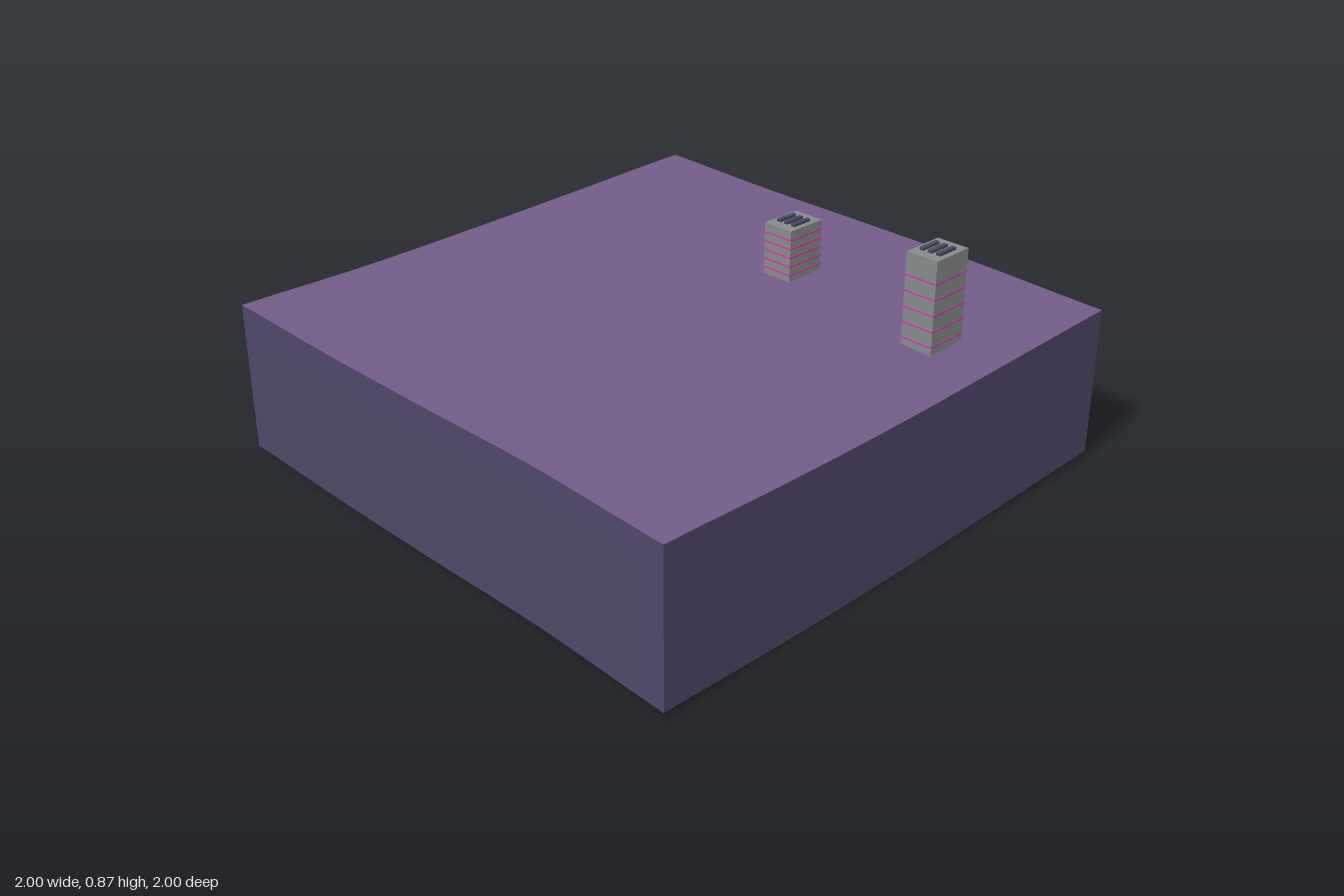
import * as THREE from 'three';

const SEG = 24;      // subdivisions along each side
const DEPTH = 0.53;  // skirt drop below the ground surface

const ground = new THREE.MeshStandardMaterial({ color: 0x735c88, side: THREE.DoubleSide });
ground.name = 'ground purple';
const earth = new THREE.MeshStandardMaterial({ color: 0x4f4769, side: THREE.DoubleSide });
earth.name = 'earth indigo';
const concrete = new THREE.MeshStandardMaterial({ color: 0x878b8b });
concrete.name = 'concrete grey';
const neon = new THREE.MeshStandardMaterial({ color: 0xcc3cb0 });
neon.name = 'neon magenta';
const ventDark = new THREE.MeshStandardMaterial({ color: 0x47475f });
ventDark.name = 'vent dark';

// Height curves along the four borders, five evenly spaced knots each
const edge = (...h) => {
  const curve = new THREE.SplineCurve(h.map((y, i) => new THREE.Vector2(i / 4, y)));
  return (t) => curve.getPoint(THREE.MathUtils.clamp(t, 0, 1)).y;
};
const backEdge = edge(0.59, 0.579, 0.577, 0.572, 0.557);
const frontEdge = edge(0.559, 0.552, 0.555, 0.562, 0.546);
const leftEdge = edge(0.59, 0.575, 0.561, 0.553, 0.559);
const rightEdge = edge(0.557, 0.545, 0.533, 0.534, 0.546);

// Ground height blended from the border curves
function heightAt(x, z) {
  const u = (x + 1) / 2, v = (z + 1) / 2, mix = THREE.MathUtils.lerp;
  return mix(backEdge(u), frontEdge(u), v) + mix(leftEdge(v), rightEdge(v), u)
    - mix(mix(backEdge(0), backEdge(1), u), mix(frontEdge(0), frontEdge(1), u), v);
}

function addMesh(parent, name, geometry, material, x = 0, y = 0, z = 0) {
  const mesh = new THREE.Mesh(geometry, material);
  mesh.name = name;
  mesh.position.set(x, y, z);
  parent.add(mesh);
  return mesh;
}

// Gently rolling top surface
function groundGeometry() {
  const g = new THREE.PlaneGeometry(2, 2, SEG, SEG).rotateX(-Math.PI / 2);
  const p = g.attributes.position;
  for (let i = 0; i < p.count; i++) p.setY(i, heightAt(p.getX(i), p.getZ(i)));
  g.computeVertexNormals();
  return g;
}

// One skirt wall: both rims follow the ground border
function wallGeometry(turn) {
  const g = new THREE.PlaneGeometry(2, 1, SEG, 1).translate(0, 0, 1).rotateY(turn * Math.PI / 2);
  const p = g.attributes.position;
  for (let i = 0; i < p.count; i++) {
    p.setY(i, heightAt(p.getX(i), p.getZ(i)) - (p.getY(i) < 0 ? DEPTH : 0));
  }
  return g;
}

// Tower block with light bands on every floor and three roof vents
function tower(name, x, z, top, firstBand, spacing) {
  const group = new THREE.Group();
  group.name = name;
  group.position.set(x, 0, z);
  const w = 0.118, d = 0.156;
  const base = heightAt(x, z) - 0.006;
  addMesh(group, 'towerBody', new THREE.BoxGeometry(w, top - base, d), concrete, 0, (top + base) / 2, 0);
  for (let i = 0; i < 5; i++) {
    addMesh(group, 'lightBand', new THREE.BoxGeometry(w + 0.003, 0.006, d + 0.003), neon,
      0, firstBand - i * spacing, 0);
  }
  for (const side of [-1, 0, 1]) {
    addMesh(group, 'roofVent', new THREE.BoxGeometry(0.016, 0.01, 0.08), ventDark,
      side * 0.032, top + 0.004, 0);
  }
  return group;
}

export function createModel() {
  const model = new THREE.Group();
  model.name = 'terrainTile';
  addMesh(model, 'groundSurface', groundGeometry(), ground);
  ['frontWall', 'leftWall', 'backWall', 'rightWall'].forEach((name, i) => {
    addMesh(model, name, wallGeometry(i), earth);
  });
  model.add(tower('tallTower', 0.748, -0.418, 0.866, 0.789, 0.0535));
  model.add(tower('shortTower', 0.081, -0.503, 0.747, 0.714, 0.032));
  return model;
}
